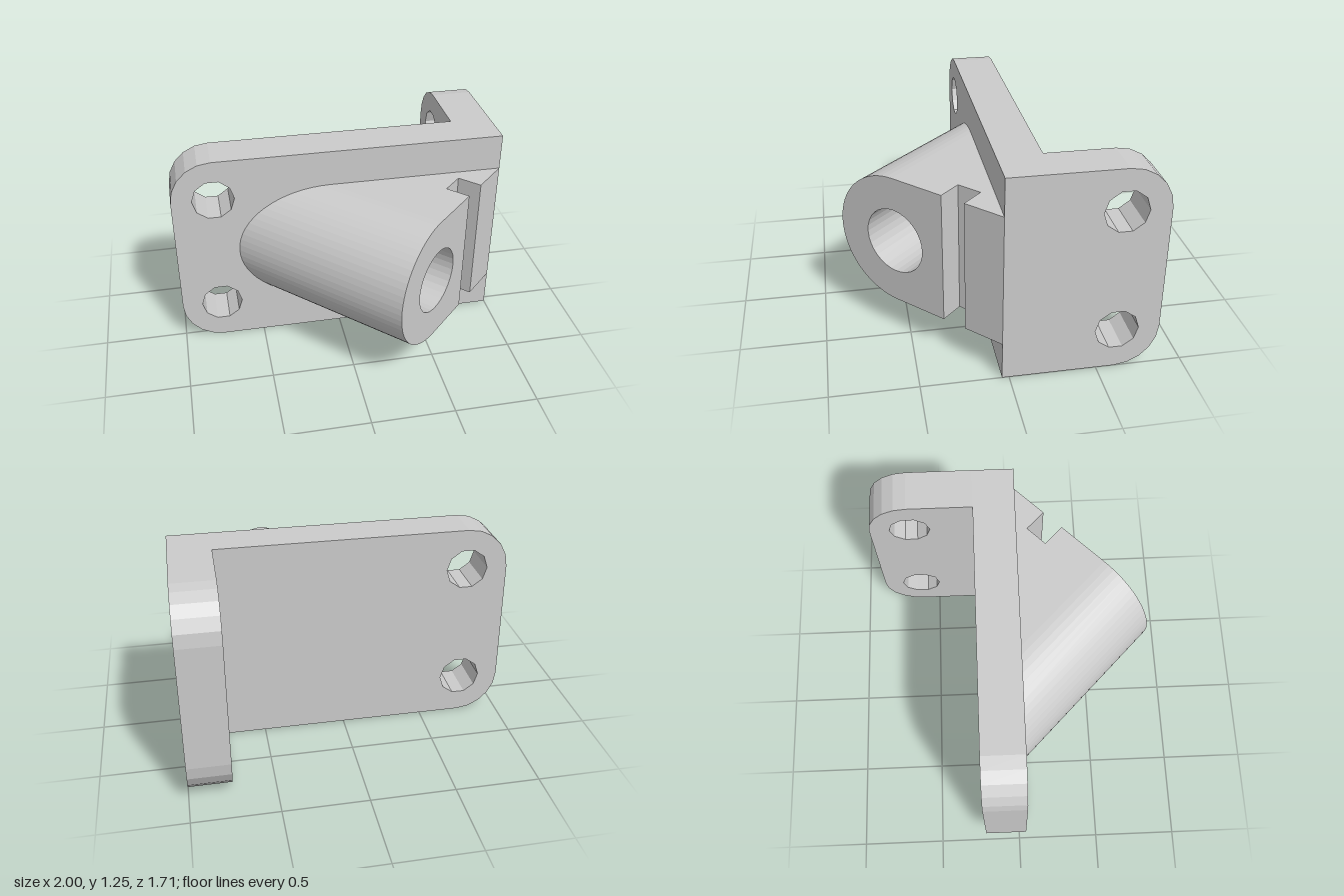
import * as THREE from 'three';

const material = new THREE.MeshStandardMaterial({ color: 0xcccccc, flatShading: true });
const HEIGHT = 1.25, THICK = 0.25, CORNER = 0.25;

// Points along a circular arc, in degrees
function arc(cx, cy, r, from, to, segments) {
  return Array.from({ length: segments + 1 }, (_, i) => {
    const a = THREE.MathUtils.degToRad(from + (to - from) * i / segments);
    return new THREE.Vector2(cx + r * Math.cos(a), cy + r * Math.sin(a));
  });
}

function extrude(shape, depth) {
  return new THREE.ExtrudeGeometry(shape, { depth, bevelEnabled: false });
}

function addMesh(parent, name, geometry) {
  const mesh = new THREE.Mesh(geometry, material);
  mesh.name = name;
  parent.add(mesh);
  return mesh;
}

// Plate with two rounded corners at x = 0 and a pair of ten-sided bolt holes
function plateGeometry(length) {
  const shape = new THREE.Shape([
    new THREE.Vector2(length, 0),
    new THREE.Vector2(length, HEIGHT),
    ...arc(CORNER, HEIGHT - CORNER, CORNER, 90, 180, 5),
    ...arc(CORNER, CORNER, CORNER, 180, 270, 5),
  ]);
  for (const y of [0.25, HEIGHT - 0.25]) {
    shape.holes.push(new THREE.Path(arc(0.247, y, 0.125, 0, 360, 10).slice(0, -1)));
  }
  return extrude(shape, THICK);
}

// Round-ended boss: its front is flat, its back is cut at 45 degrees against
// the plate, and its bore stops at a fixed depth
function bossGeometry(radius, boreRadius, boreDepth, end, reach) {
  const shape = new THREE.Shape([
    new THREE.Vector2(end, -radius),
    new THREE.Vector2(end, radius),
    ...arc(radius, 0, radius, 90, 270, 32),
  ]);
  shape.holes.push(new THREE.Path(arc(radius, 0, boreRadius, 0, 360, 32).slice(0, -1)));
  const geometry = extrude(shape, 1);
  const p = geometry.attributes.position;
  for (let i = 0; i < p.count; i++) {
    const inBore = Math.hypot(p.getX(i) - radius, p.getY(i)) < boreRadius + 0.01;
    const depth = inBore ? boreDepth : reach - p.getX(i);
    p.setZ(i, p.getZ(i) > 0.5 ? 0 : -depth);
  }
  geometry.computeVertexNormals();
  return geometry;
}

export function createModel() {
  const model = new THREE.Group();
  model.name = 'angleBracket';

  // L-shaped pair of mounting plates
  addMesh(model, 'mainPlate', plateGeometry(2)).position.set(-1, 0, -0.21);
  const side = addMesh(model, 'sidePlate', plateGeometry(0.645));
  side.rotation.y = -Math.PI / 2;
  side.position.set(1, 0, -0.855);

  // Angled block, facing halfway between front and left
  const block = new THREE.Group();
  block.name = 'angledBlock';
  block.position.set(0.19, 0.63, 0.85);
  block.rotation.y = Math.PI / 4;
  model.add(block);

  const radius = 0.4, bore = 0.2, boreDepth = 0.5;
  const reach = 0.81 * Math.SQRT2, grooveStart = 0.743, grooveEnd = 0.893, grooveDepth = 0.15;
  addMesh(block, 'boss', bossGeometry(radius, bore, boreDepth, grooveStart, reach));
  addMesh(block, 'boreFloor', new THREE.CircleGeometry(bore, 32)).position.set(radius, 0, -boreDepth);

  // Wedge with a square groove, running the full height of the block
  const wedge = new THREE.Shape([
    [grooveStart, grooveDepth], [grooveEnd, grooveDepth], [grooveEnd, 0],
    [reach, 0], [grooveStart, reach - grooveStart],
  ].map(([s, d]) => new THREE.Vector2(s, d)));
  const wedgeGeometry = extrude(wedge, radius * 2);
  wedgeGeometry.rotateX(-Math.PI / 2).translate(0, -radius, 0);
  addMesh(block, 'groovedWedge', wedgeGeometry);

  return model;
}
